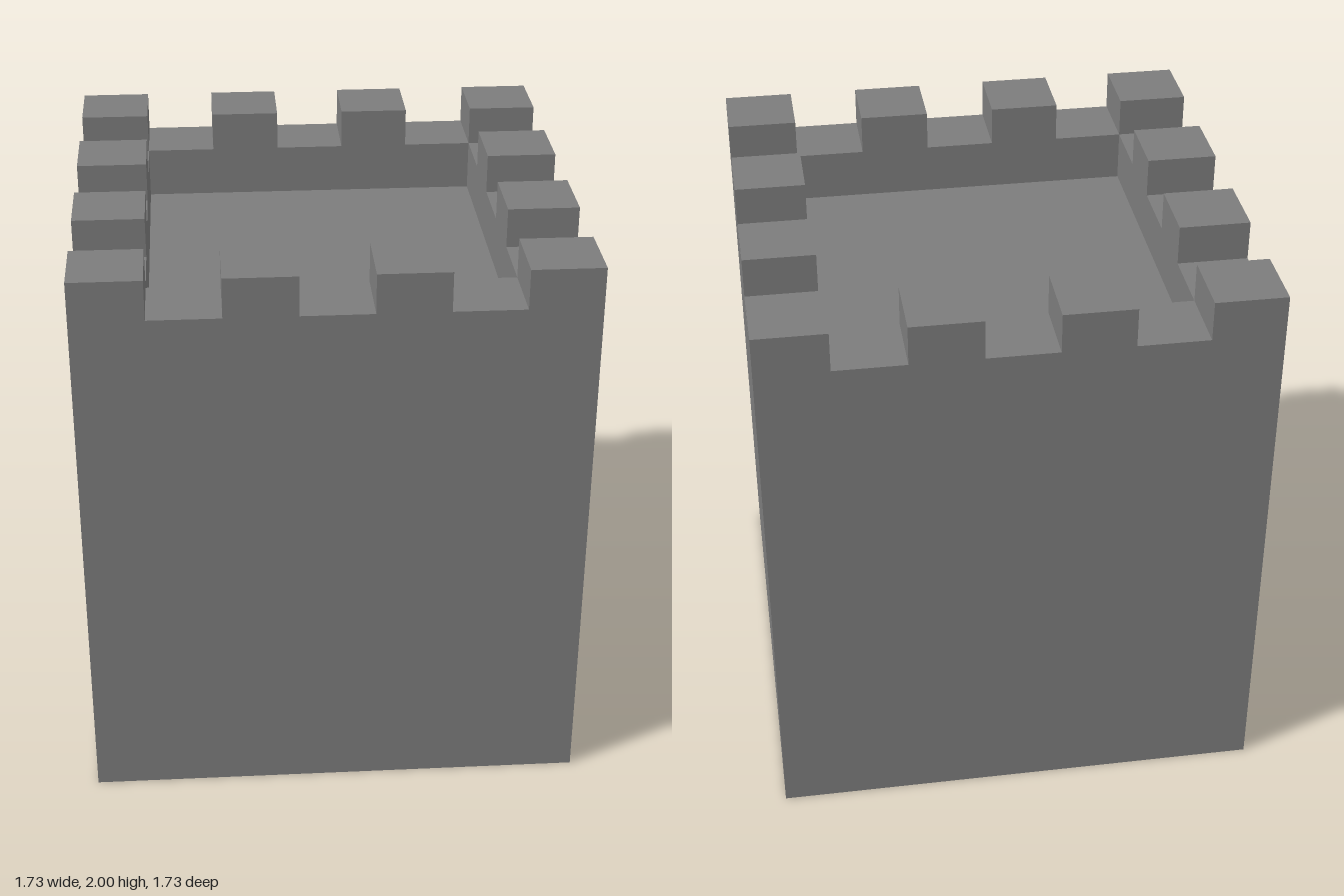
import * as THREE from 'three';

const HALF = 0.865;             // half the tower's width
const U = (2 * HALF) / 7;       // width of one merlon, gap or wall
const INNER = HALF - U;         // inner face of the walls
const TOP = 2, GAP = 1.86, ROOF = 1.68;
const DOOR = 3 * U;             // doorway width, height and depth

const stone = new THREE.MeshStandardMaterial({ color: 0x7c7c7c });
const dark = new THREE.MeshStandardMaterial({ color: 0x303030, side: THREE.DoubleSide });

// Crenellated wall covering cells first..last of the seven, standing on the ground
function wallGeometry(first, last, hasDoor) {
  const edge = (i) => -HALF + i * U;
  const shape = new THREE.Shape();
  shape.moveTo(edge(first), 0);
  if (hasDoor) {
    shape.lineTo(-DOOR / 2, 0);
    shape.lineTo(-DOOR / 2, DOOR);
    shape.lineTo(DOOR / 2, DOOR);
    shape.lineTo(DOOR / 2, 0);
  }
  shape.lineTo(edge(last + 1), 0);
  for (let i = last; i >= first; i--) {
    const y = i % 2 ? GAP : TOP;
    shape.lineTo(edge(i + 1), y);
    shape.lineTo(edge(i), y);
  }
  shape.closePath();
  return new THREE.ExtrudeGeometry(shape, { depth: U, bevelEnabled: false }).translate(0, 0, INNER);
}

export function createModel() {
  const tower = new THREE.Group();
  tower.name = 'castleTower';
  const add = (name, geometry, material = stone) => {
    const mesh = new THREE.Mesh(geometry, material);
    mesh.name = name;
    tower.add(mesh);
    return mesh;
  };

  // Front and back walls own the corners; the side walls fit between them
  add('frontWall', wallGeometry(0, 6, false));
  add('backWall', wallGeometry(0, 6, false)).rotation.y = Math.PI;
  add('leftWall', wallGeometry(1, 5, false)).rotation.y = Math.PI / 2;
  add('rightWall', wallGeometry(1, 5, true)).rotation.y = -Math.PI / 2;

  // Sunken roof platform
  add('roof', new THREE.PlaneGeometry(2 * INNER, 2 * INNER).rotateX(-Math.PI / 2).translate(0, ROOF, 0));

  // Underside between the walls, cut out around the doorway
  const d = DOOR / 2, inside = -HALF + DOOR;
  const base = new THREE.Shape([
    [-INNER, -INNER], [INNER, -INNER], [INNER, INNER], [-INNER, INNER],
    [-INNER, d], [inside, d], [inside, -d], [-INNER, -d],
  ].map(([x, z]) => new THREE.Vector2(x, z)));
  add('underside', new THREE.ShapeGeometry(base).rotateX(Math.PI / 2));

  // Dark doorway recess: a box without its outer face, set just inside the opening
  const size = DOOR - 0.004;
  const recess = new THREE.BoxGeometry(DOOR, size, size);
  recess.setIndex(Array.from(recess.index.array).filter((_, i) => i < 6 || i > 11));
  recess.clearGroups();
  add('doorway', recess.translate(-HALF + DOOR / 2, size / 2, 0), dark);

  return tower;
}
